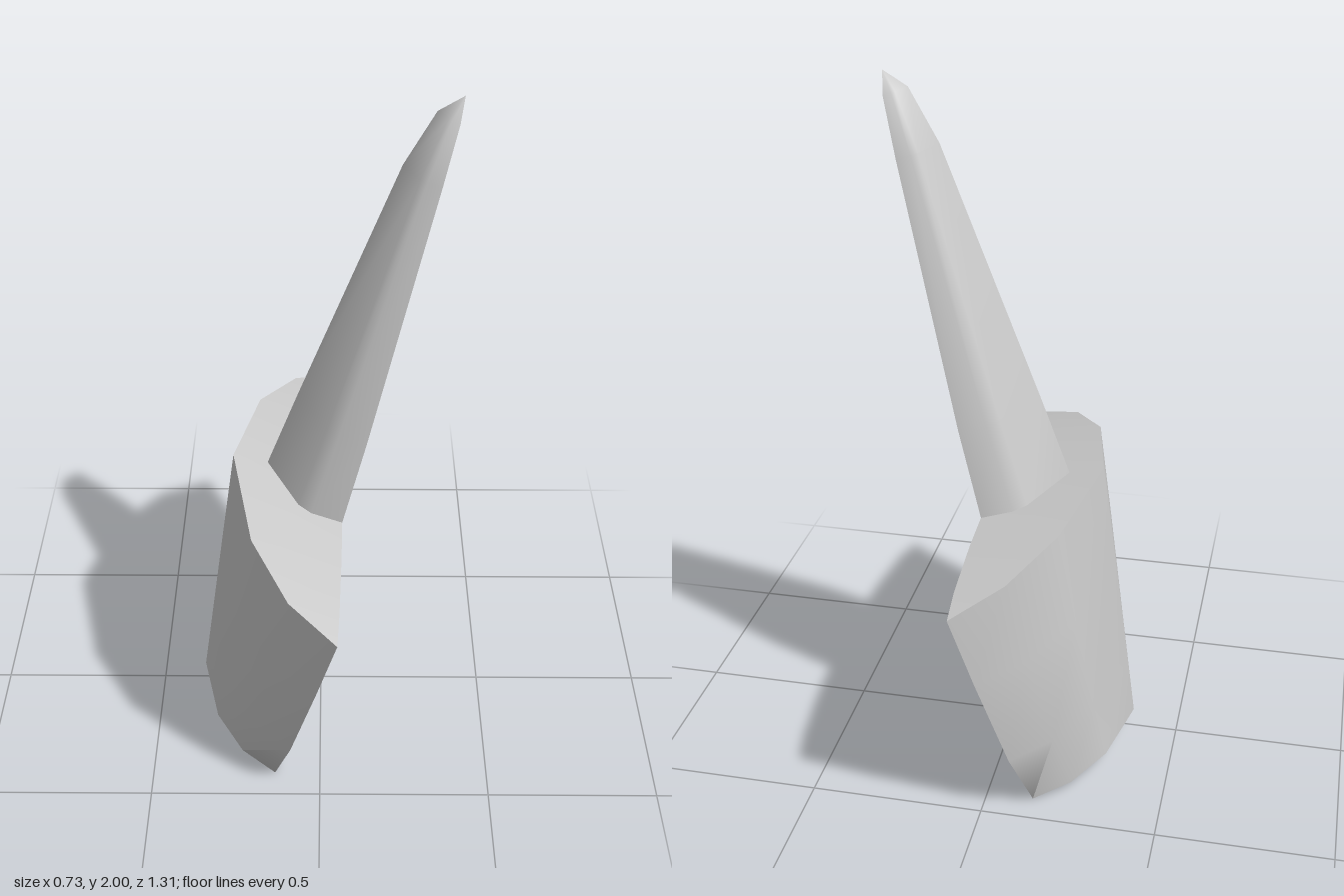
import * as THREE from 'three';
import { toCreasedNormals } from 'three/addons/utils/BufferGeometryUtils.js';

// Place a point given along the leaning flat face (s), behind it (d) and across it (z)
const place = (s, d, z) =>
  new THREE.Vector3(-0.135 + 0.2425 * s - 0.97 * d, 0.97 * s + 0.2425 * d, z);

// Half-profile [z, d] from middle to edge, mirrored into a full profile from -z to +z
const mirror = (half) => [...half.slice(1).reverse().map(([z, d]) => [-z, d]), ...half];

// Closed solid with a flat face and a bulging back; rows are { s(z), w, d }
function loft(profile, rows) {
  const pos = [];
  const tri = (a, b, c) => {
    const area = b.clone().sub(a).cross(c.clone().sub(a)).length();
    if (area > 1e-7) for (const p of [a, b, c]) pos.push(p.x, p.y, p.z);
  };
  const quad = (a, b, c, d) => { tri(a, b, c); tri(a, c, d); };
  const sheet = (depth) => rows.map((r) =>
    profile.map(([z, d]) => place(r.s(z), d * r.d * depth, z * r.w)));
  const back = sheet(1), front = sheet(0), top = rows.length - 1;
  for (let i = 0; i < profile.length - 1; i++) {
    for (let j = 0; j < top; j++) {
      quad(front[j][i], front[j + 1][i], front[j + 1][i + 1], front[j][i + 1]);
      quad(back[j][i], back[j][i + 1], back[j + 1][i + 1], back[j + 1][i]);
    }
    quad(back[top][i], back[top][i + 1], front[top][i + 1], front[top][i]);
    quad(front[0][i], front[0][i + 1], back[0][i + 1], back[0][i]);
  }
  const geo = new THREE.BufferGeometry();
  geo.setAttribute('position', new THREE.Float32BufferAttribute(pos, 3));
  return toCreasedNormals(geo, 1.2);
}

export function createModel() {
  const group = new THREE.Group();
  const material = new THREE.MeshStandardMaterial({ color: 0xcccccc });
  const add = (name, geo) => {
    const mesh = new THREE.Mesh(geo, material);
    mesh.name = name;
    group.add(mesh);
  };

  // Wide body, flaring upward, with a crowned top edge
  const bodyProfile = mirror([[0, 1], [0.53, 0.78], [0.84, 0.43], [1, 0]]);
  const crown = [[0, 0.825], [0.53, 0.803], [0.84, 0.778], [1, 0.753]];
  const crownAt = (z) => crown.find(([k]) => k === Math.abs(z))[1];
  const bodyRows = [[0, 0.415], [0.206, 0.515], [0.515, 0.6]].map(([s, w]) =>
    ({ s: () => s, w, d: 0.24 + 0.11 * s }));
  bodyRows.push({ s: crownAt, w: 0.655, d: 0.33 });
  add('body', loft(bodyProfile, bodyRows));

  // Tapering spike rising from the top of the body
  const spikeProfile = mirror([[0, 1], [0.8, 0.57], [0.93, 0.4], [1, 0]]);
  const spikeRows = [
    [0.8, 0.2, 0.23], [1.08, 0.187, 0.198], [1.84, 0.086, 0.102],
    [2.005, 0.052, 0.057], [2.062, 0, 0],
  ].map(([s, w, d]) => ({ s: () => s, w, d }));
  add('spike', loft(spikeProfile, spikeRows));

  return group;
}
